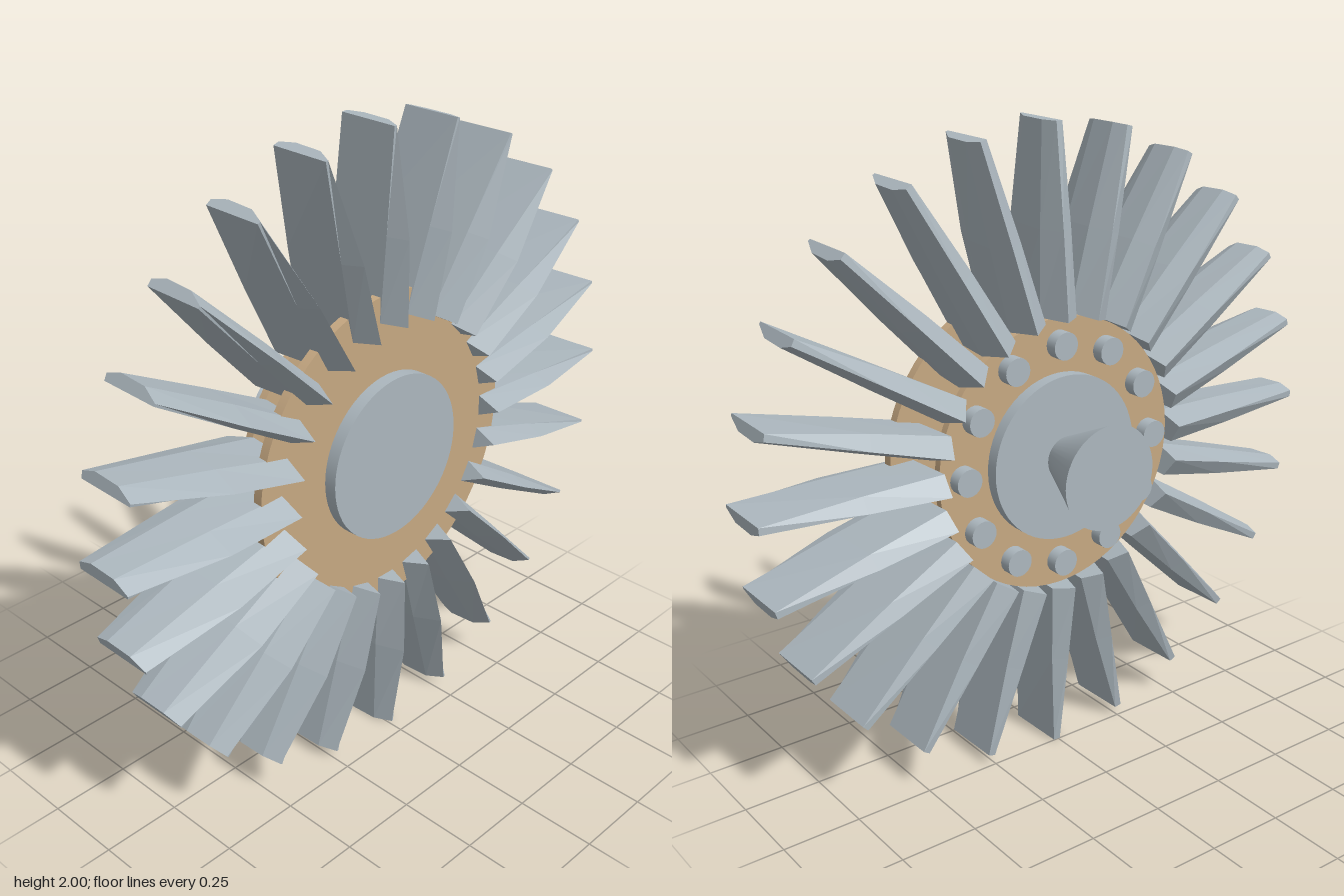
import * as THREE from 'three';

const steel = new THREE.MeshStandardMaterial({ color: 0xacb7be, name: 'steel', flatShading: true });
const smoothSteel = new THREE.MeshStandardMaterial({ color: 0xacb7be, name: 'smoothSteel' });
const bronze = new THREE.MeshStandardMaterial({ color: 0xc6a882, name: 'bronze' });

// Blade cross-sections [x, thickness], counter-clockwise seen from the tip, at growing radius
const SECTIONS = [
  { r: 0.43, pts: [[-0.07, 0.015], [-0.03, -0.045], [0.17, -0.036], [0.25, -0.005], [0.17, 0.032], [0.03, 0.045]] },
  { r: 0.69, pts: [[-0.04, 0.010], [-0.015, -0.036], [0.185, -0.03], [0.25, -0.008], [0.16, 0.028], [0.04, 0.036]] },
  { r: 1.0, pts: [[0, 0.006], [0.002, -0.016], [0.199, -0.02], [0.2, -0.012], [0.145, 0.016], [0.05, 0.021]] },
];

// Lofts the sections along +z and caps both ends
function bladeGeometry() {
  const pos = [];
  const n = SECTIONS[0].pts.length;
  const rings = SECTIONS.map(s => s.pts.map(([x, t]) => [x, t, s.r]));
  const tri = (a, b, c) => pos.push(...a, ...b, ...c);
  for (let s = 0; s < rings.length - 1; s++) {
    for (let i = 0; i < n; i++) {
      const j = (i + 1) % n;
      const [a, b, c, d] = [rings[s][i], rings[s][j], rings[s + 1][j], rings[s + 1][i]];
      tri(a, b, c);
      tri(a, c, d);
    }
  }
  const root = rings[0], tip = rings[rings.length - 1];
  for (let i = 1; i < n - 1; i++) {
    tri(tip[0], tip[i], tip[i + 1]);
    tri(root[0], root[i + 1], root[i]);
  }
  const g = new THREE.BufferGeometry();
  g.setAttribute('position', new THREE.Float32BufferAttribute(pos, 3));
  g.computeVertexNormals();
  return g;
}

export function createModel() {
  const model = new THREE.Group();
  const rotor = new THREE.Group();
  rotor.name = 'rotor';
  rotor.position.y = 1;
  model.add(rotor);

  // Cylinder along x from x0 (radius r0) to x1 (radius r1)
  const disc = (name, x0, x1, r0, r1, material, y = 0, z = 0, sides = 64) => {
    const g = new THREE.CylinderGeometry(r1, r0, x1 - x0, sides);
    g.rotateZ(-Math.PI / 2);
    const mesh = new THREE.Mesh(g, material);
    mesh.name = name;
    mesh.position.set((x0 + x1) / 2, y, z);
    rotor.add(mesh);
  };

  // Two retaining plates around a solid hub
  disc('outerPlate', 0.14, 0.17, 0.51, 0.51, bronze);
  disc('innerPlate', 0, 0.025, 0.43, 0.43, bronze);
  disc('hub', -0.04, 0.21, 0.26, 0.26, smoothSteel);
  disc('flaredShaft', -0.25, -0.03, 0.163, 0.064, smoothSteel, 0, 0, 48);

  // Ring of bolts on the inner plate
  for (let i = 0; i < 12; i++) {
    const a = i * Math.PI / 6;
    disc('bolt', -0.04, 0.01, 0.043, 0.043, smoothSteel, 0.35 * Math.sin(a), 0.35 * Math.cos(a), 24);
  }

  // Radial blades
  const blade = bladeGeometry();
  for (let i = 0; i < 24; i++) {
    const mesh = new THREE.Mesh(blade, steel);
    mesh.name = 'blade';
    mesh.rotation.x = -i * Math.PI / 12;
    rotor.add(mesh);
  }
  return model;
}
